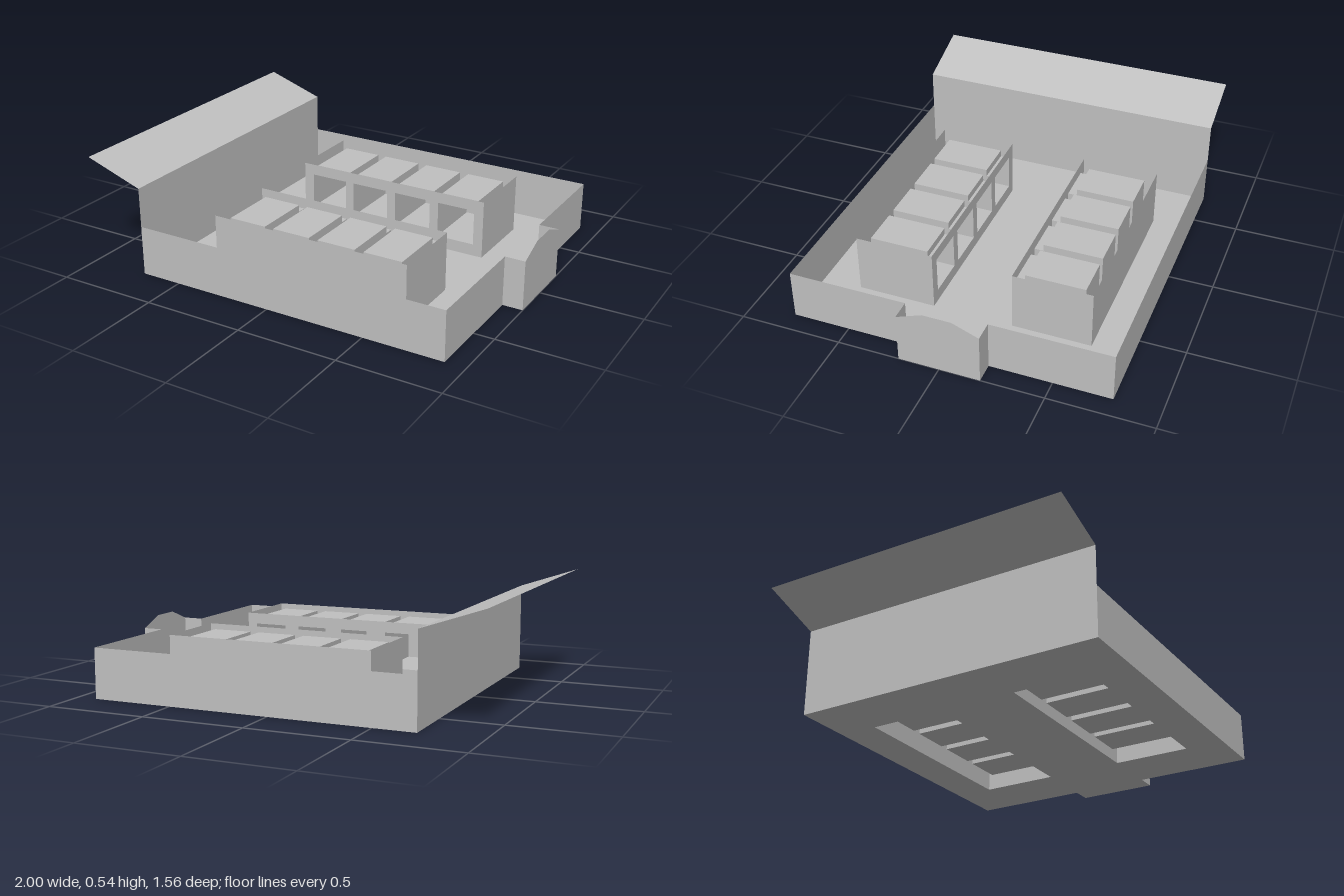
import * as THREE from 'three';

export function createModel() {
  const root = new THREE.Group();
  const card = new THREE.MeshStandardMaterial({ color: 0xc0c0c0, side: THREE.DoubleSide });
  card.name = 'grey card';

  const H = 0.245, TOP = 0.295;             // tray wall and bank heights
  const X0 = -0.705, X1 = 0.9, Z = 0.78;    // tray extents
  const BX0 = -0.415, BX1 = 0.61, ZI = 0.198, ZO = 0.585; // cell bank extents
  const cells = [-0.265, -0.0225, 0.22, 0.4625];
  const half = 0.098, sill = 0.06, head = 0.24;

  const add = (parent, name, geometry) => {
    const mesh = new THREE.Mesh(geometry, card);
    mesh.name = name;
    parent.add(mesh);
    return mesh;
  };
  // flat convex sheet through the given corners
  const sheet = (parent, name, pts) => {
    const g = new THREE.BufferGeometry();
    const tri = [];
    for (let i = 1; i < pts.length - 1; i++) tri.push(...pts[0], ...pts[i], ...pts[i + 1]);
    g.setAttribute('position', new THREE.Float32BufferAttribute(tri, 3));
    g.computeVertexNormals();
    return add(parent, name, g);
  };
  // upright sheet between two floor points
  const wall = (parent, name, xa, za, xb, zb, y0, y1) =>
    sheet(parent, name, [[xa, y0, za], [xb, y0, zb], [xb, y1, zb], [xa, y1, za]]);
  // level sheet
  const level = (parent, name, xa, xb, za, zb, y) =>
    sheet(parent, name, [[xa, y, za], [xa, y, zb], [xb, y, zb], [xb, y, za]]);
  const outline = (Type, pts) => new Type(pts.map(([x, y]) => new THREE.Vector2(x, y)));
  const rect = (xa, ya, xb, yb) => [[xa, ya], [xb, ya], [xb, yb], [xa, yb]];

  // floor with a well under each bank and a tongue at the tab
  const floorShape = outline(THREE.Shape, [
    [X0, -Z], [X1, -Z], [X1, -ZI], [1, -ZI], [1, ZI], [X1, ZI], [X1, Z], [X0, Z],
  ]);
  floorShape.holes.push(
    outline(THREE.Path, rect(BX0, ZI, BX1, ZO)),
    outline(THREE.Path, rect(BX0, -ZO, BX1, -ZI)),
  );
  add(root, 'floor', new THREE.ShapeGeometry(floorShape).rotateX(Math.PI / 2));

  // tall hinge wall and its sloping flap
  wall(root, 'hingeWall', X0, Z, X0, -Z, 0, 0.44);
  sheet(root, 'flap', [[X0, 0.44, Z], [X0, 0.44, -Z], [-1, 0.54, -Z], [-1, 0.54, Z]]);

  // end tab with clipped top corners
  sheet(root, 'tab', [
    [1, 0, ZI], [1, 0, -ZI], [1, H, -ZI], [1, TOP, -0.07], [1, TOP, 0.07], [1, H, ZI],
  ]);

  for (const s of [1, -1]) {
    wall(root, 'sideWall', X0, s * Z, X1, s * Z, 0, H);
    wall(root, 'endWall', X1, s * Z, X1, s * ZI, 0, H);
    wall(root, 'tabSide', X1, s * ZI, 1, s * ZI, 0, H);

    // bank of four cells, open above and below between the cells
    const bank = new THREE.Group();
    bank.name = 'cellBank';
    root.add(bank);
    wall(bank, 'bankOuterWall', BX0, s * ZO, BX1, s * ZO, 0, TOP);
    for (const x of [BX0, BX1]) wall(bank, 'bankEndWall', x, s * ZI, x, s * ZO, 0, TOP);
    const front = outline(THREE.Shape, rect(BX0, 0, BX1, TOP));
    for (const c of cells) front.holes.push(outline(THREE.Path, rect(c - half, sill, c + half, head)));
    add(bank, 'windowWall', new THREE.ShapeGeometry(front)).position.z = s * ZI;

    // each cell is a box behind its window with a stepped lid
    const zs = s * 0.243, zb = s * 0.535, lid = 0.275;
    for (const c of cells) {
      const a = c - half, b = c + half;
      level(bank, 'cellFloor', a, b, s * ZI, zb, sill);
      level(bank, 'cellLip', a, b, s * ZI, zs, head);
      wall(bank, 'cellStep', a, zs, b, zs, head, lid);
      level(bank, 'cellLid', a, b, zs, zb, lid);
      wall(bank, 'cellBack', a, zb, b, zb, sill, lid);
      for (const x of [a, b]) {
        sheet(bank, 'cellSide', [
          [x, sill, zb], [x, sill, s * ZI], [x, head, s * ZI], [x, head, zs], [x, lid, zs], [x, lid, zb],
        ]);
      }
    }
  }
  return root;
}
